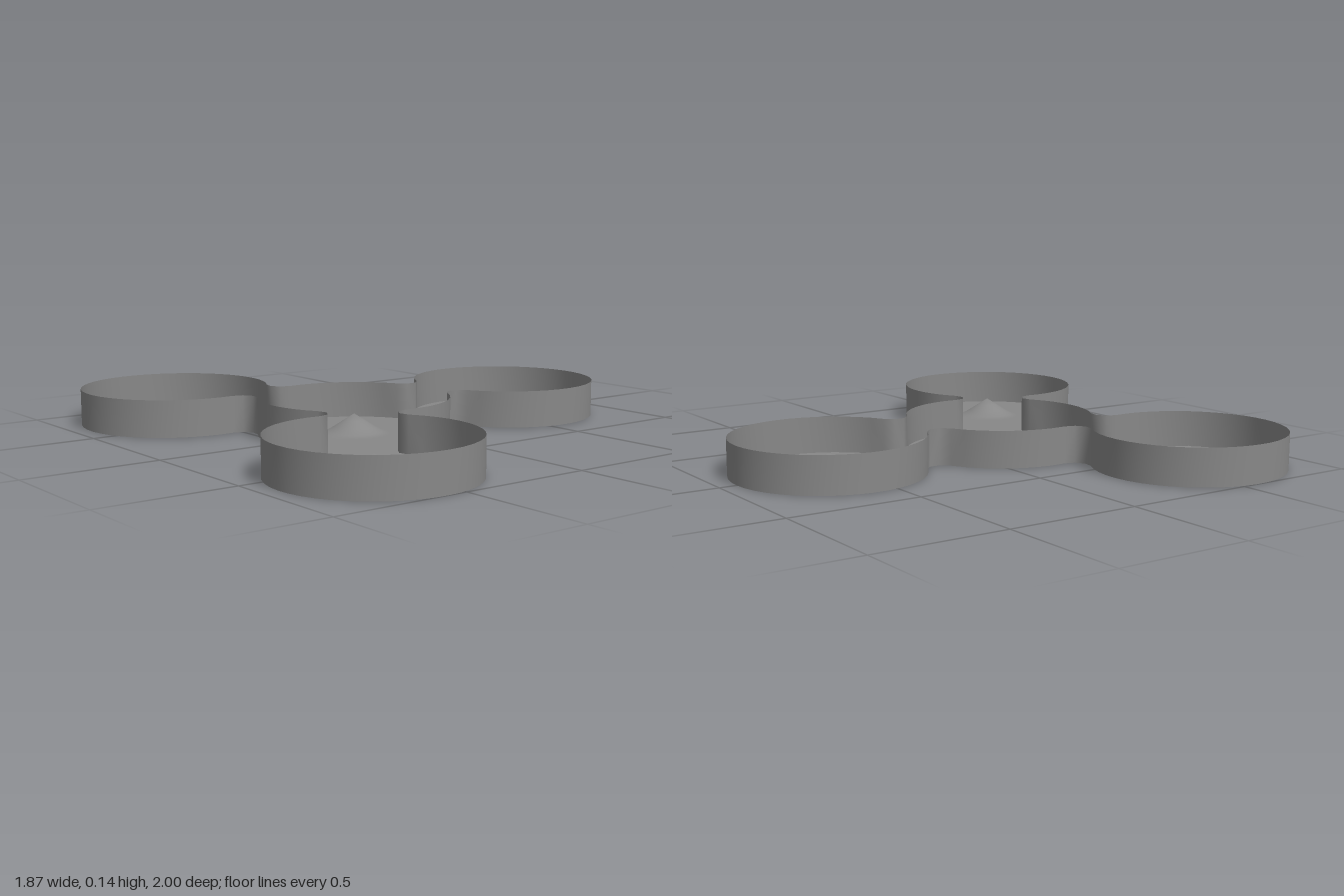
import * as THREE from 'three';

const R = 0.36;            // radius of every cup
const D = 0.755;           // hub to pod distance
const NECK = 0.12;         // half width of a neck
const WALL = 0.14;         // wall height
const BUMP = 0.13;         // bump radius
const HUB = new THREE.Vector2(-0.18, 0);
const ANGLES = [0, 122, 238].map(THREE.MathUtils.degToRad);

const polar = (c, radius, a) =>
  new THREE.Vector2(c.x + radius * Math.cos(a), c.y + radius * Math.sin(a));

// Points along an arc, without the last one
function arc(center, radius, from, to, step) {
  const n = Math.round(Math.abs(to - from) / step);
  return Array.from({ length: n }, (_, i) => polar(center, radius, from + (to - from) * i / n));
}

// Outline of hub and pods, joined by coarse tangent fillets
function outline() {
  const H = D / 2;
  const r = (H * H + NECK * NECK - R * R) / (2 * (R - NECK));
  const t = Math.atan2(NECK + r, H);
  const points = [];
  ANGLES.forEach((a, i) => {
    const next = i < 2 ? ANGLES[i + 1] : ANGLES[0] + 2 * Math.PI;
    points.push(
      ...arc(polar(HUB, R + r, a - t), r, a + Math.PI - t, a + t, 0.75),
      ...arc(polar(HUB, D, a), R, a - Math.PI + t, a + Math.PI - t, 0.15),
      ...arc(polar(HUB, R + r, a + t), r, a - t, a - Math.PI + t, 0.75),
      ...arc(HUB, R, a + t, next - t, 0.15),
    );
  });
  return points;
}

// Thin upright wall following the outline
function wallGeometry(points) {
  const pos = [], index = [], n = points.length;
  points.forEach((p, i) => {
    pos.push(p.x, 0, -p.y, p.x, WALL, -p.y);
    const a = 2 * i, b = 2 * ((i + 1) % n);
    index.push(a, b, b + 1, a, b + 1, a + 1);
  });
  const g = new THREE.BufferGeometry();
  g.setAttribute('position', new THREE.Float32BufferAttribute(pos, 3));
  g.setIndex(index);
  g.computeVertexNormals();
  return g;
}

// Hollow cone whose normals blend into the floor and over the tip
function bumpGeometry() {
  const profile = [[BUMP, 0], [0.105, 0.008], [0.075, 0.026], [0.04, 0.049], [0, 0.074]]
    .map(([x, y]) => new THREE.Vector2(x, y));
  const g = new THREE.LatheGeometry(profile, 32);
  const { position, normal } = g.attributes;
  for (let i = 0; i < position.count; i++) {
    const x = position.getX(i), z = position.getZ(i);
    const radius = Math.hypot(x, z);
    const tilt = 0.5 * Math.sin(Math.PI * Math.min(1, radius / BUMP));
    const side = Math.sin(tilt) / Math.max(radius, 1e-6);
    normal.setXYZ(i, x * side, Math.cos(tilt), z * side);
  }
  return g;
}

export function createModel() {
  const group = new THREE.Group();
  group.name = 'tray';
  const material = new THREE.MeshStandardMaterial({ color: 0x888888, side: THREE.DoubleSide });
  const add = (name, geometry) => {
    const mesh = new THREE.Mesh(geometry, material);
    mesh.name = name;
    group.add(mesh);
    return mesh;
  };

  const points = outline();
  const centers = [HUB, ...ANGLES.map(a => polar(HUB, D, a))];
  add('wall', wallGeometry(points));

  // Floor, open beneath each bump
  const floor = new THREE.Shape(points);
  for (const c of centers) {
    floor.holes.push(new THREE.Path(arc(c, BUMP, 0, -2 * Math.PI, Math.PI / 16)));
  }
  add('floor', new THREE.ShapeGeometry(floor).rotateX(-Math.PI / 2));

  // One bump in the middle of each cup
  const bump = bumpGeometry();
  centers.forEach((c, i) => {
    add(i ? 'podBump' : 'hubBump', bump).position.set(c.x, 0, -c.y);
  });
  return group;
}
